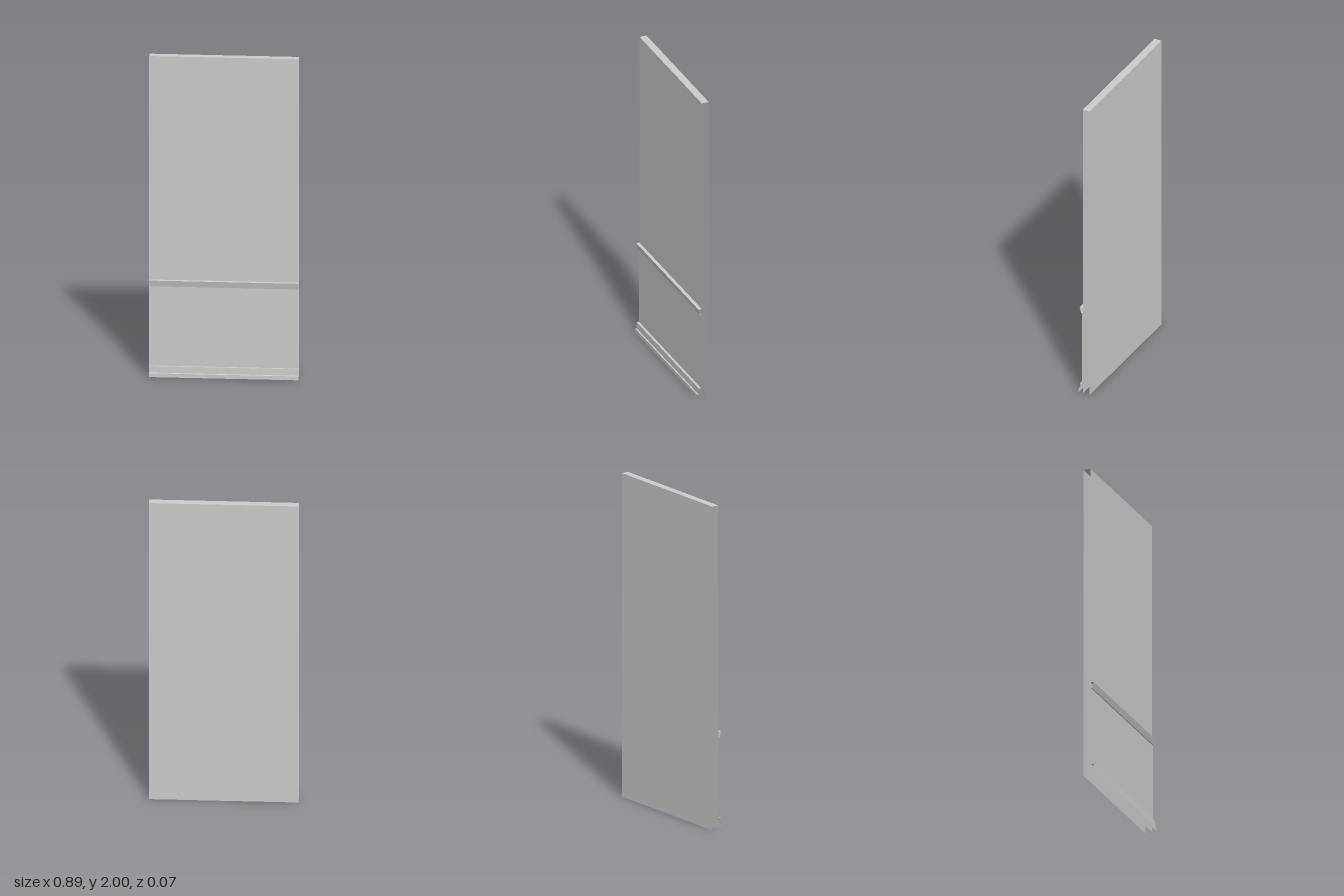
import * as THREE from 'three';

const X0 = -0.444, X1 = 0.444;

// Sweeps an open [z, y] profile along x, with hard edges and no end caps
function strip(name, profile) {
  const pos = [];
  for (let i = 0; i < profile.length - 1; i++) {
    const [z0, y0] = profile[i], [z1, y1] = profile[i + 1];
    pos.push(X0, y0, z0, X0, y1, z1, X1, y1, z1);
    pos.push(X0, y0, z0, X1, y1, z1, X1, y0, z0);
  }
  const geo = new THREE.BufferGeometry();
  geo.setAttribute('position', new THREE.Float32BufferAttribute(pos, 3));
  geo.computeVertexNormals();
  const mat = new THREE.MeshStandardMaterial({ color: 0xcccccc, side: THREE.DoubleSide });
  const mesh = new THREE.Mesh(geo, mat);
  mesh.name = name;
  return mesh;
}

export function createModel() {
  const group = new THREE.Group();
  group.name = 'wallSection';

  // Hollow wall: back sheet, top and front sheet, open at the ends and floor
  group.add(strip('wall', [[-0.038, 0], [-0.038, 2], [0.007, 2], [0.007, 0]].reverse()));

  // Thin panel over the lower wall
  group.add(strip('lowerPanel', [[0.012, 0.066], [0.012, 0.563]]));

  // Rail capping the panel, tapering downwards
  group.add(strip('topRail', [[0.012, 0.563], [0.018, 0.563], [0.028, 0.602], [0.007, 0.602]]));

  // Skirting board with a protruding toe
  group.add(strip('baseboard', [
    [0.035, 0], [0.035, 0.024], [0.028, 0.026], [0.026, 0.066], [0.012, 0.066],
  ]));

  return group;
}
